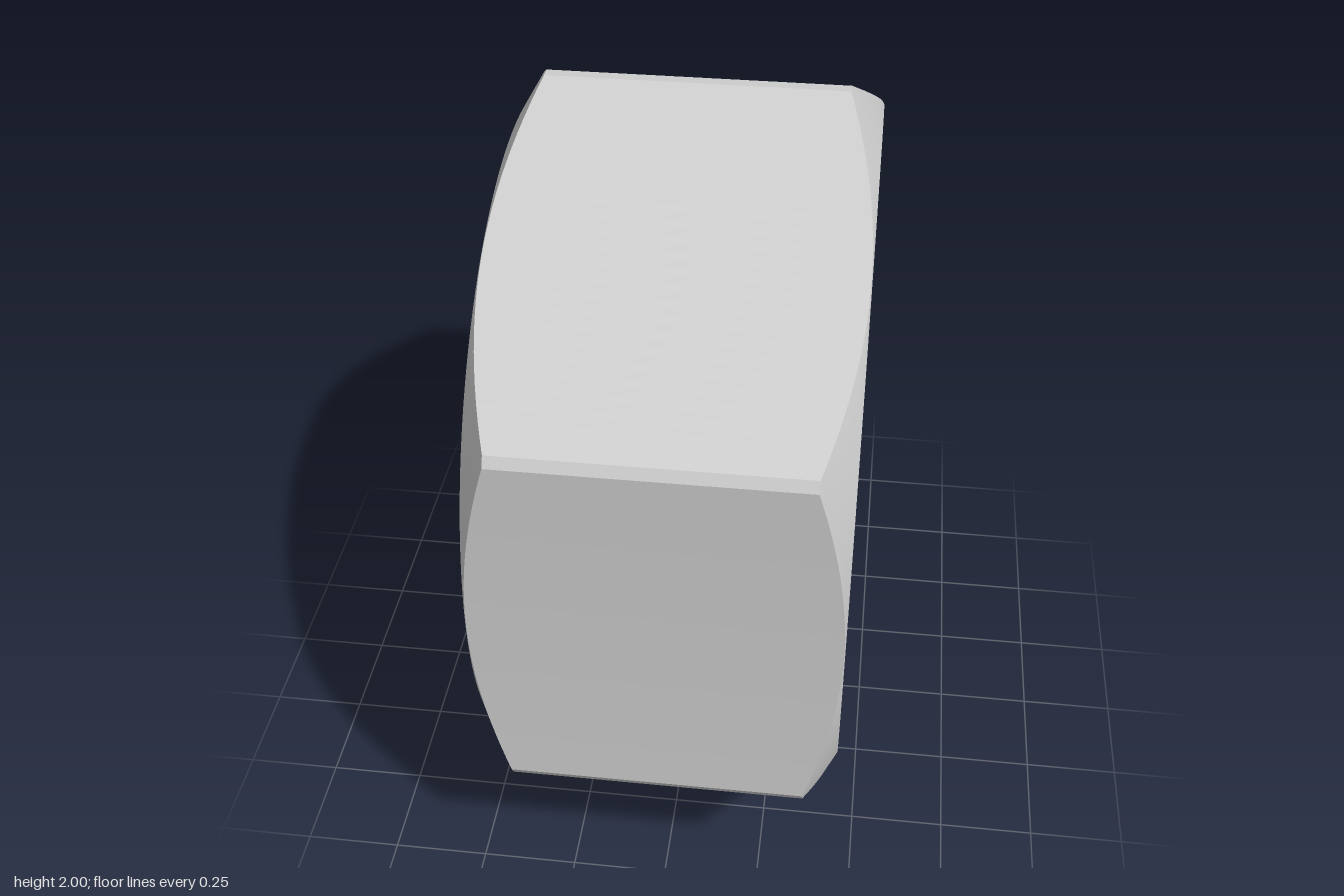
import * as THREE from 'three';
import { toCreasedNormals } from 'three/addons/utils/BufferGeometryUtils.js';

const HALF = 0.445;        // half thickness along x
const CONE_R = 0.862;      // radius where the 30 degree outer chamfer starts
const BORE_R = 0.508, SINK_R = 0.592, SINK_DEPTH = 0.085;
const SIDE_STEPS = 24;

// Hexagon outline: slightly dished flats, tiny bevels between them
function hexOutline() {
  const points = [];
  for (let side = 0; side < 6; side++) {
    const mid = Math.PI / 6 + side * Math.PI / 3;
    for (let i = 0; i <= SIDE_STEPS; i++) {
      const s = (i / SIDE_STEPS) * 2 - 1;
      const t = 0.487 * s, a = 0.866 + 0.0075 * s * s;
      points.push({ angle: mid + Math.atan2(t, a), r: Math.hypot(t, a) });
    }
  }
  return points;
}

const outline = hexOutline();

// Rings are lists of [x, y, z] around the x axis
const circle = (x, r) => outline.map(p => [x, 1 + r * Math.cos(p.angle), r * Math.sin(p.angle)]);
const hexRim = dir => outline.map(p => [
  dir * (HALF - (p.r - CONE_R) * Math.tan(Math.PI / 6)),
  1 + p.r * Math.cos(p.angle),
  p.r * Math.sin(p.angle),
]);

// Skin a sequence of closed rings
function loft(rings) {
  const n = outline.length, index = [];
  for (let j = 0; j < rings.length - 1; j++) {
    for (let i = 0; i < n; i++) {
      const k = (i + 1) % n;
      const a = j * n + i, b = j * n + k, c = b + n, d = a + n;
      index.push(a, b, c, a, c, d);
    }
  }
  const geometry = new THREE.BufferGeometry();
  geometry.setAttribute('position', new THREE.Float32BufferAttribute(rings.flat(2), 3));
  geometry.setIndex(index);
  geometry.computeVertexNormals();
  return geometry;
}

export function createModel() {
  const group = new THREE.Group();
  group.name = 'hexNut';
  const material = new THREE.MeshStandardMaterial({ color: 0xcccccc });
  const add = (name, geometry) => {
    const mesh = new THREE.Mesh(geometry, material);
    mesh.name = name;
    group.add(mesh);
  };

  // Six flats and corner bevels
  add('hexWall', toCreasedNormals(loft([hexRim(-1), hexRim(1)]), 0.3));

  // End faces blending into the conical chamfer
  const endFace = dir => [hexRim(dir), circle(dir * HALF, CONE_R), circle(dir * HALF, 0.85), circle(dir * HALF, SINK_R)];
  add('leftFace', loft(endFace(1)));
  add('rightFace', loft(endFace(-1).reverse()));

  // Through bore with a countersink at each end
  const inner = HALF - SINK_DEPTH;
  add('bore', toCreasedNormals(loft([
    circle(HALF, SINK_R), circle(inner, BORE_R), circle(-inner, BORE_R), circle(-HALF, SINK_R),
  ]), 0.5));

  return group;
}
